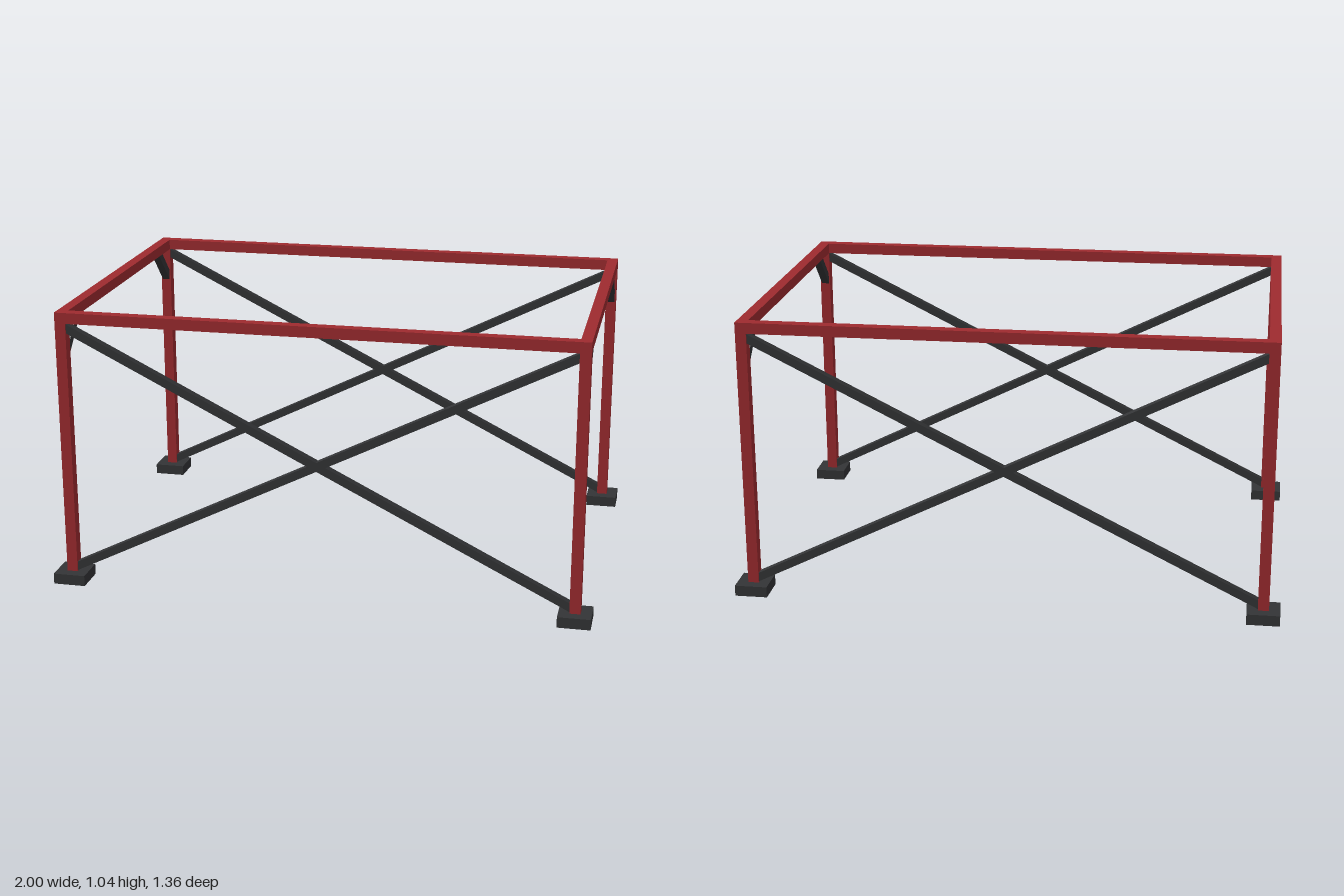
import * as THREE from 'three';

const X = 0.94, Z = 0.62;        // post centre lines
const T = 0.04, BAR = 0.03;      // frame tube and brace thickness
const TOP = 1.04, FOOT = 0.04;

export function createModel() {
  const red = new THREE.MeshStandardMaterial({ color: 0x9e2b2f });
  red.name = 'frame red';
  const dark = new THREE.MeshStandardMaterial({ color: 0x333436 });
  dark.name = 'dark steel';

  const model = new THREE.Group();
  model.name = 'frame';

  const box = (name, material, size, position) => {
    const mesh = new THREE.Mesh(new THREE.BoxGeometry(...size), material);
    mesh.name = name;
    mesh.position.set(...position);
    model.add(mesh);
    return mesh;
  };

  // Square bar running between two points
  const bar = (name, from, to) => {
    const a = new THREE.Vector3(...from), b = new THREE.Vector3(...to);
    const mid = a.clone().add(b).multiplyScalar(0.5);
    const mesh = box(name, dark, [BAR, a.distanceTo(b), BAR], mid.toArray());
    mesh.quaternion.setFromUnitVectors(new THREE.Vector3(0, 1, 0), b.sub(a).normalize());
  };

  for (const sz of [1, -1]) {
    const end = sz > 0 ? 'front' : 'back';

    // Long top beam and the crossed braces below it
    box(end + 'Beam', red, [2 * X + T, T, T], [0, TOP - T / 2, sz * Z]);
    for (const s of [1, -1]) {
      bar(end + 'CrossBrace', [-s * X, 0.05, sz * Z], [s * X, 0.99, sz * Z]);
    }

    // Corner post, foot plate and knee brace
    for (const sx of [1, -1]) {
      const corner = end + (sx > 0 ? 'Left' : 'Right');
      const height = TOP - T - FOOT;
      box(corner + 'Post', red, [T, height, T], [sx * X, FOOT + height / 2, sz * Z]);
      box(corner + 'Foot', dark, [0.12, FOOT, 0.12], [sx * X, FOOT / 2, sz * Z]);
      bar(corner + 'KneeBrace', [sx * X, 0.87, sz * Z], [sx * X, 1.02, sz * (Z - 0.15)]);
    }
  }

  // Short top beams, fitted between the long ones
  for (const sx of [1, -1]) {
    box(sx > 0 ? 'leftBeam' : 'rightBeam', red, [T, T, 2 * Z - T], [sx * X, TOP - T / 2, 0]);
  }

  return model;
}
